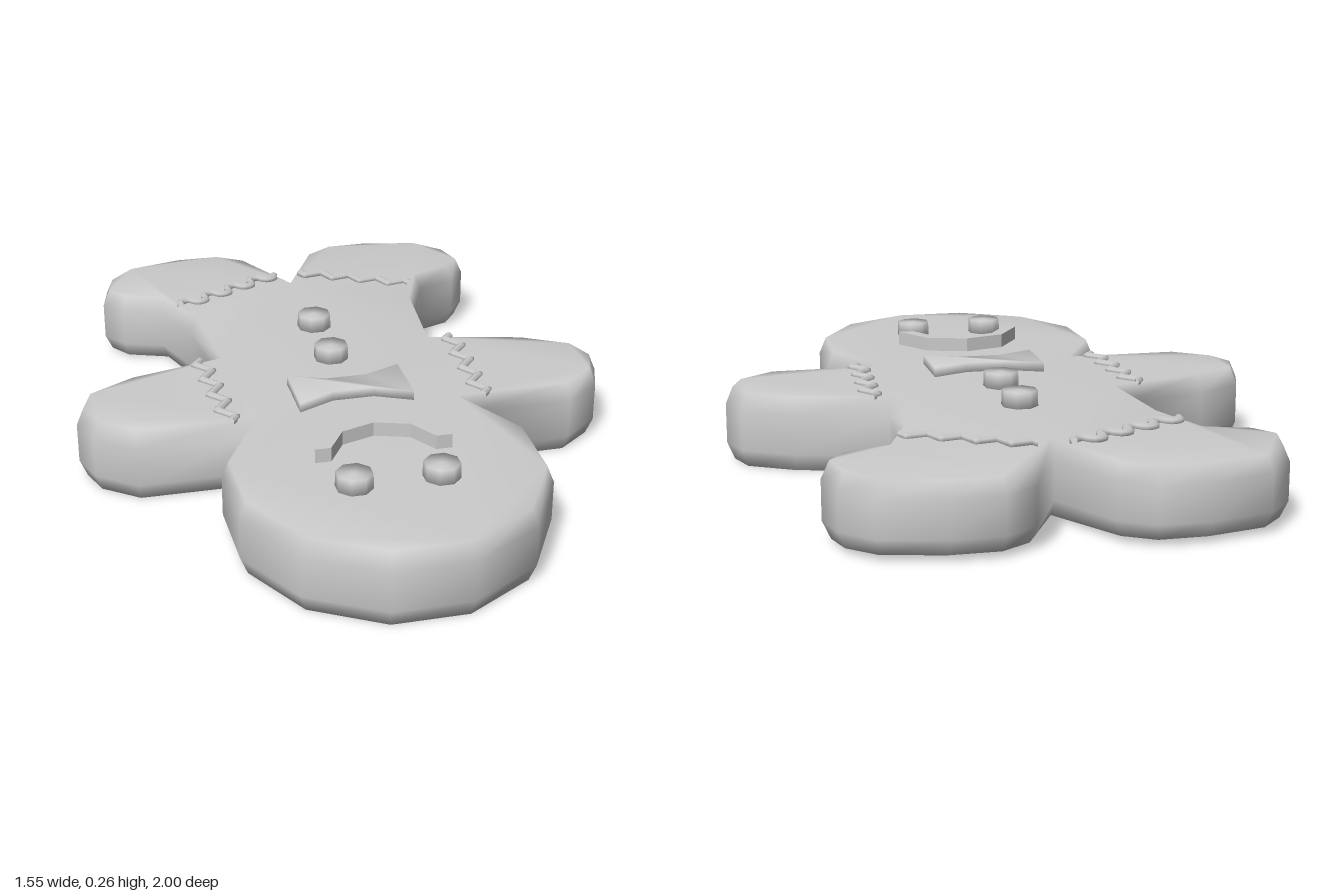
import * as THREE from 'three';
import { mergeVertices } from 'three/addons/utils/BufferGeometryUtils.js';

const TOP = 0.215;
const material = new THREE.MeshStandardMaterial({ color: 0xcccccc });

function addMesh(parent, name, geometry) {
  const mesh = new THREE.Mesh(geometry, material);
  mesh.name = name;
  parent.add(mesh);
  return mesh;
}

// Weld a geometry so that its normals blend over the edges
function soften(geometry) {
  geometry.deleteAttribute('uv');
  geometry.deleteAttribute('normal');
  const welded = mergeVertices(geometry, 1e-4);
  welded.computeVertexNormals();
  return welded;
}

// Half outline (x, z) from the crotch round leg, arm and head
const HALF = [
  [0.10, -0.94], [0.19, -1.0], [0.33, -1.0], [0.50, -0.96], [0.58, -0.87], [0.605, -0.76],
  [0.55, -0.69], [0.43, -0.65], [0.365, -0.48], [0.34, -0.195],
  [0.60, -0.13], [0.74, -0.05], [0.775, 0.05], [0.74, 0.15], [0.63, 0.235], [0.32, 0.235],
  [0.43, 0.44], [0.425, 0.67], [0.31, 0.88], [0.11, 1.0],
];

// Move each corner of a closed outline inwards
function inset(points, d) {
  const n = points.length;
  return points.map((p, i) => {
    const a = p.clone().sub(points[(i + n - 1) % n]).normalize();
    const b = points[(i + 1) % n].clone().sub(p).normalize();
    const normal = new THREE.Vector2(-a.y - b.y, a.x + b.x).normalize();
    const k = Math.max(0.6, normal.dot(new THREE.Vector2(-a.y, a.x)));
    return p.clone().addScaledVector(normal, d / k);
  });
}

// Cookie slab: four stacked outlines with softly rounded rims
function bodyGeometry() {
  const outline = [new THREE.Vector2(0, -0.72)];
  HALF.forEach(([x, z]) => outline.push(new THREE.Vector2(x, z)));
  [...HALF].reverse().forEach(([x, z]) => outline.push(new THREE.Vector2(-x, z)));
  const n = outline.length;
  const rings = [[0, 0.02], [0.05, 0], [0.165, 0], [TOP, 0.02]];
  const positions = [];
  const index = [];
  rings.forEach(([y, d]) => {
    inset(outline, d).forEach((p) => {
      // The feet are a little thinner
      const t = THREE.MathUtils.clamp((-0.6 - p.y) / 0.35, 0, 1);
      const low = 0.018 * t;
      const high = TOP - 0.009 * t;
      positions.push(p.x, low + (y / TOP) * (high - low), p.y);
    });
  });
  for (let r = 0; r < rings.length - 1; r++) {
    for (let i = 0; i < n; i++) {
      const a = r * n + i;
      const b = r * n + ((i + 1) % n);
      index.push(a, a + n, b, b, a + n, b + n);
    }
  }
  const last = (rings.length - 1) * n;
  THREE.ShapeUtils.triangulateShape(outline, []).forEach(([a, b, c]) => {
    index.push(a, b, c, last + a, last + c, last + b);
  });
  const geometry = new THREE.BufferGeometry();
  geometry.setAttribute('position', new THREE.Float32BufferAttribute(positions, 3));
  geometry.setIndex(index);
  geometry.computeVertexNormals();
  return geometry;
}

// Flat plate from an (x, z) outline, lying on the cookie up to height top
function plate(points, top) {
  const shape = new THREE.Shape(points.map(([x, z]) => new THREE.Vector2(x, z)));
  const geometry = new THREE.ExtrudeGeometry(shape, { depth: top - TOP + 0.01, bevelEnabled: false });
  geometry.rotateX(Math.PI / 2);
  geometry.translate(0, top, 0);
  return geometry;
}

// Wavy line of icing between two (x, z) points
function icing(from, to, waves, amplitude) {
  const a = new THREE.Vector2(...from);
  const b = new THREE.Vector2(...to);
  const dir = b.clone().sub(a).normalize();
  const points = [];
  const steps = waves * 8;
  for (let i = 0; i <= steps; i++) {
    const phase = (i / steps) * waves * Math.PI * 2;
    const p = a.clone().lerp(b, i / steps);
    const s = Math.sin(phase) * amplitude;
    // Lean the bends to make fuller loops
    const l = Math.sin(phase * 2) * amplitude * 0.3;
    points.push(new THREE.Vector3(p.x - dir.y * s + dir.x * l, 0, p.y + dir.x * s + dir.y * l));
  }
  const curve = new THREE.CatmullRomCurve3(points);
  const geometry = new THREE.TubeGeometry(curve, steps * 2, 0.012, 6, false);
  geometry.translate(0, TOP + 0.002, 0);
  return geometry;
}

export function createModel() {
  const group = new THREE.Group();
  group.name = 'gingerbreadCookie';
  addMesh(group, 'body', bodyGeometry());

  // Round sweets for buttons and eyes
  const sweet = soften(new THREE.CylinderGeometry(0.05, 0.052, 0.05, 8));
  [
    ['upperButton', 0, -0.11], ['lowerButton', 0, -0.34],
    ['leftEye', 0.118, 0.655], ['rightEye', -0.118, 0.655],
  ].forEach(([name, x, z]) => {
    const mesh = addMesh(group, name, sweet);
    mesh.position.set(x, 0.233, z);
    mesh.rotation.y = Math.PI / 8;
  });

  // Smile
  addMesh(group, 'mouth', plate([
    [-0.19, 0.51], [-0.12, 0.4], [0, 0.362], [0.12, 0.4], [0.19, 0.51],
    [0.145, 0.51], [0.095, 0.428], [0, 0.397], [-0.095, 0.428], [-0.145, 0.51],
  ], 0.256));

  // Bow tie
  addMesh(group, 'bowTie', soften(plate([
    [-0.165, 0.035], [-0.06, 0.08], [0.06, 0.08], [0.165, 0.035],
    [0.165, 0.217], [0.06, 0.167], [-0.06, 0.167], [-0.165, 0.217],
  ], 0.243)));

  // Icing cuffs on arms and legs
  [['left', 1], ['right', -1]].forEach(([side, s]) => {
    addMesh(group, side + 'ArmIcing', icing([0.385 * s, -0.17], [0.365 * s, 0.23], 4, 0.022));
    addMesh(group, side + 'LegIcing', icing([0.045 * s, -0.755], [0.375 * s, -0.585], 4, 0.02 * s));
  });
  return group;
}
